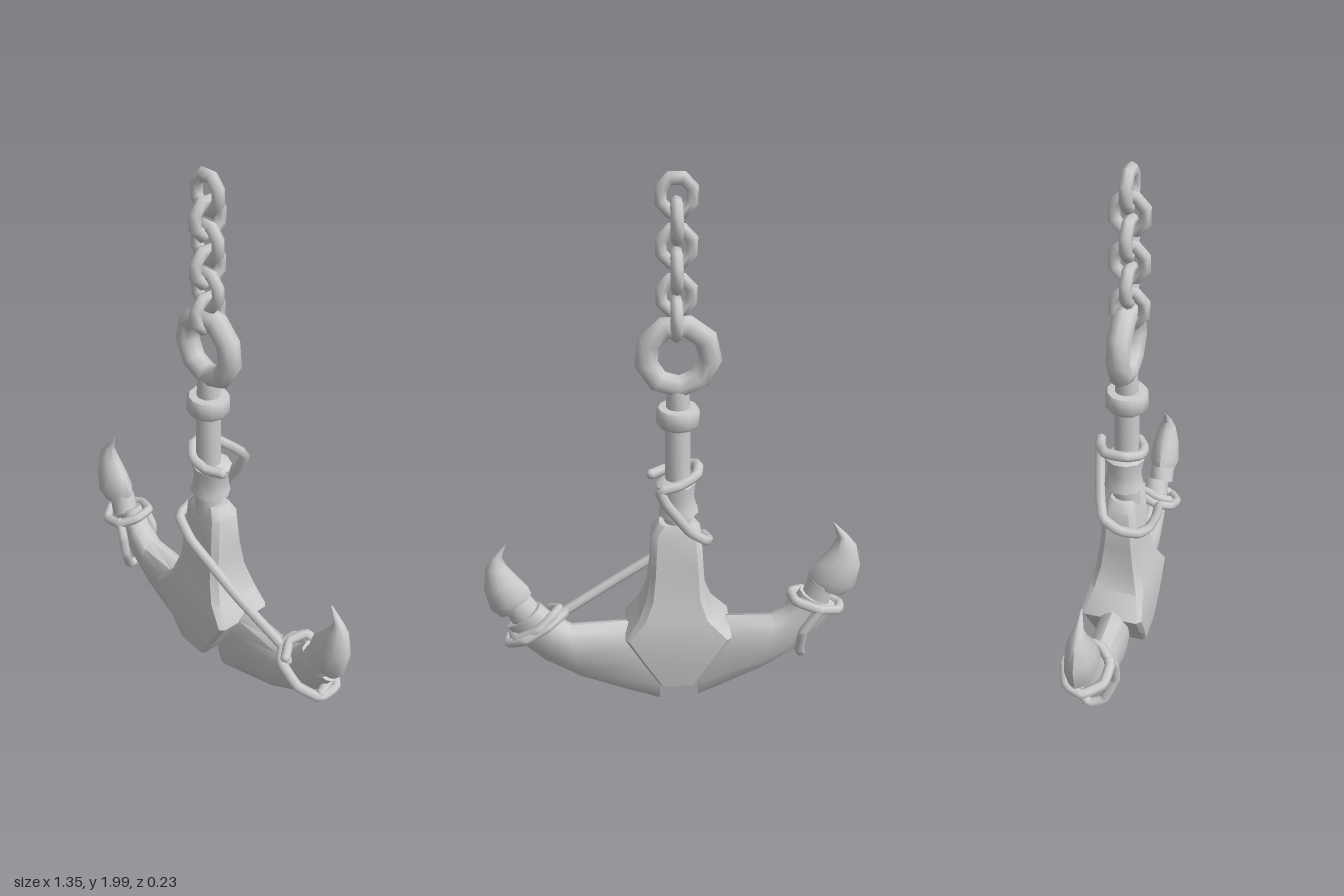
import * as THREE from 'three';
import { toCreasedNormals } from 'three/addons/utils/BufferGeometryUtils.js';

const V = (x, y, z = 0) => new THREE.Vector3(x, y, z);

// Skin a list of equal-length rings (arrays of Vector3), closing both ends.
function loft(rings, crease) {
  const n = rings[0].length;
  const pos = [], idx = [];
  const push = (p) => pos.push(p.x, p.y, p.z) / 3 - 1;
  rings.forEach((r) => r.forEach(push));
  for (let i = 0; i < rings.length - 1; i++) {
    for (let j = 0; j < n; j++) {
      const a = i * n + j, b = i * n + (j + 1) % n;
      idx.push(a, b, a + n, b, b + n, a + n);
    }
  }
  [0, rings.length - 1].forEach((ri) => {
    const c = push(rings[ri].reduce((s, p) => s.add(p), V(0, 0)).divideScalar(n));
    for (let j = 0; j < n; j++) {
      const a = ri * n + j, b = ri * n + (j + 1) % n;
      if (ri === 0) idx.push(c, b, a); else idx.push(c, a, b);
    }
  });
  // Turn the faces outward if the rings ran the other way
  const P = (i) => V(pos[3 * i], pos[3 * i + 1], pos[3 * i + 2]);
  let volume = 0;
  for (let i = 0; i < idx.length; i += 3) {
    volume += P(idx[i]).dot(P(idx[i + 1]).cross(P(idx[i + 2])));
  }
  if (volume < 0) idx.reverse();
  const g = new THREE.BufferGeometry();
  g.setAttribute('position', new THREE.Float32BufferAttribute(pos, 3));
  g.setIndex(idx);
  return toCreasedNormals(g, crease);
}

// Section in a slanted plane: upper edge point, lower edge point, half depth.
// keel > 0 thins the lower side; power > 1 makes it diamond-like.
function section([ux, uy, lx, ly, d], z, keel, power, n = 12) {
  const ring = [];
  for (let i = 0; i < n; i++) {
    const a = (i / n) * Math.PI * 2;
    const c = Math.cos(a), s = Math.sin(a);
    const t = (1 - c) / 2;
    const depth = Math.sign(s) * Math.abs(s) ** power * d * (1 - keel * t);
    ring.push(V(ux + (lx - ux) * t, uy + (ly - uy) * t, z + depth));
  }
  return ring;
}

export function createModel() {
  const anchor = new THREE.Group();
  anchor.name = 'anchor';
  const iron = new THREE.MeshStandardMaterial({ color: 0xcccccc });
  iron.name = 'grey iron';

  const add = (name, geometry, x = 0, y = 0, z = 0) => {
    const m = new THREE.Mesh(geometry, iron);
    m.name = name;
    m.position.set(x, y, z);
    anchor.add(m);
    return m;
  };
  // Profiles run from bottom to top so the faces point outward
  const lathe = (pts, sides) => toCreasedNormals(
    new THREE.LatheGeometry(pts.map(([r, y]) => new THREE.Vector2(r, y)), sides), 0.85);
  const rope = (name, pts, closed = false) => {
    const curve = new THREE.CatmullRomCurve3(pts.map((p) => V(...p)), closed, 'catmullrom', 0.15);
    add(name, new THREE.TubeGeometry(curve, pts.length * 5, 0.018, 7, closed));
    if (!closed) [pts[0], pts[pts.length - 1]].forEach((p) =>
      add('ropeEnd', new THREE.SphereGeometry(0.018, 7, 5), ...p));
  };

  // Chain: six octagonal links, alternately turned
  for (let i = 0; i < 6; i++) {
    const g = new THREE.TorusGeometry(0.053, 0.021, 7, 8);
    g.rotateZ(Math.PI / 8).scale(0.98, 1.06, 1);
    const link = add('chainLink', g, -0.015, 1.924 - i * 0.0795, 0.015);
    link.rotation.y = i % 2 ? Math.PI / 2 : 0;
  }

  // Shackle ring
  add('ring', new THREE.TorusGeometry(0.107, 0.039, 8, 9).rotateZ(0.47), -0.02, 1.4, 0.008);

  // Shank with collar
  add('shank', lathe([
    [0, 0.74], [0.05, 0.74], [0.05, 0.86], [0.043, 0.95], [0.043, 1.15], [0.064, 1.152],
    [0.073, 1.165], [0.073, 1.205], [0.066, 1.218], [0.04, 1.22], [0.036, 1.29], [0, 1.29],
  ], 12), -0.02, 0, 0.009);

  // Flared band on the shank
  const band = add('band', lathe([
    [0, -0.066], [0.05, -0.066], [0.071, -0.055], [0.064, -0.03], [0.06, 0.01],
    [0.069, 0.06], [0.045, 0.075], [0, 0.075],
  ], 10), -0.018, 0.878, 0);
  band.rotation.z = -0.08;

  // Crown: blocks flaring to a hexagonal boss; y, left x, right x, half depth, chamfer
  const crownRows = [
    [0.135, -0.085, 0.05, 0.1, 0.012], [0.22, -0.135, 0.1, 0.108, 0.014],
    [0.345, -0.21, 0.172, 0.112, 0.016], [0.42, -0.145, 0.122, 0.1, 0.022],
    [0.5, -0.118, 0.092, 0.082, 0.022], [0.6, -0.11, 0.08, 0.068, 0.02],
    [0.75, -0.1, 0.072, 0.056, 0.02], [0.785, -0.075, 0.045, 0.04, 0.018],
  ];
  add('crown', loft(crownRows.map(([y, l, r, d, c]) => [
    V(l + c, y, d), V(r - c, y, d), V(r, y, d - c), V(r, y, c - d),
    V(r - c, y, -d), V(l + c, y, -d), V(l, y, c - d), V(l, y, d - c),
  ]), 0.7));

  // Arms: upper x, y, lower x, y, half depth
  const arms = {
    right: [
      [-0.09, 0.3, -0.1, 0.01, 0.05], [-0.2, 0.37, -0.185, 0.05, 0.072],
      [-0.37, 0.365, -0.33, 0.125, 0.072], [-0.425, 0.405, -0.46, 0.215, 0.066],
      [-0.45, 0.445, -0.55, 0.315, 0.06], [-0.465, 0.475, -0.605, 0.4, 0.055],
    ],
    left: [
      [0.04, 0.3, 0.048, 0.01, 0.05], [0.17, 0.37, 0.17, 0.055, 0.072],
      [0.37, 0.355, 0.33, 0.12, 0.072], [0.425, 0.395, 0.47, 0.205, 0.066],
      [0.455, 0.43, 0.55, 0.285, 0.06], [0.475, 0.455, 0.6, 0.36, 0.055],
    ],
  };
  // Necks and hooked flukes on the arm ends
  const necks = {
    right: [[-0.475, 0.46, -0.575, 0.4, 0.047], [-0.5, 0.525, -0.585, 0.475, 0.046]],
    left: [[0.485, 0.445, 0.58, 0.37, 0.047], [0.525, 0.505, 0.605, 0.43, 0.046]],
  };
  const flukes = {
    right: [
      [-0.492, 0.515, -0.63, 0.445, 0.045], [-0.493, 0.545, -0.67, 0.485, 0.058],
      [-0.525, 0.59, -0.68, 0.57, 0.05], [-0.565, 0.64, -0.66, 0.655, 0.035],
      [-0.588, 0.69, -0.625, 0.7, 0.017], [-0.57, 0.75, -0.572, 0.752, 0.002],
    ],
    left: [
      [0.505, 0.495, 0.625, 0.4, 0.045], [0.515, 0.525, 0.655, 0.435, 0.058],
      [0.555, 0.575, 0.672, 0.52, 0.05], [0.585, 0.615, 0.66, 0.605, 0.035],
      [0.6, 0.65, 0.637, 0.65, 0.017], [0.582, 0.702, 0.584, 0.704, 0.002],
    ],
  };
  for (const [side, z, zTip] of [['right', 0.005, 0.015], ['left', -0.01, 0]]) {
    add(side + 'Arm', loft(arms[side].map((s) => section(s, z, 0.55, 0.85)), 0.9));
    add(side + 'Neck', loft(necks[side].map((s) => section(s, zTip, 0, 1)), 0.9));
    add(side + 'Fluke', loft(flukes[side].map((s) => section(s, zTip, 0, 1.35)), 0.9));
  }

  // Rope: round the shank, down the back, around the crown and across to the left arm
  rope('shankRope', [
    [0.07, 0.955, 0.03], [0.02, 0.96, 0.06], [-0.04, 0.975, 0.062], [-0.09, 0.995, 0.02],
    [-0.08, 0.99, -0.05], [-0.02, 0.97, -0.085], [0.045, 0.96, -0.1], [0.02, 0.9, -0.098],
    [-0.06, 0.78, -0.075], [-0.115, 0.73, -0.05], [-0.128, 0.7, 0.01], [-0.11, 0.685, 0.07],
    [-0.02, 0.635, 0.088], [0.2, 0.505, 0.062], [0.4, 0.39, 0.025], [0.44, 0.37, 0.045],
  ]);

  // Rope loops around the left arm
  rope('leftArmRope', [
    [0.39, 0.4, 0.015], [0.43, 0.37, 0.065], [0.52, 0.325, 0.07], [0.59, 0.3, 0.03],
    [0.595, 0.31, -0.04], [0.53, 0.35, -0.085], [0.45, 0.395, -0.075], [0.4, 0.415, -0.03],
  ], true);
  rope('leftArmRopeTurn', [
    [0.44, 0.39, 0.055], [0.41, 0.42, 0.01], [0.43, 0.43, -0.05], [0.48, 0.39, -0.08],
    [0.56, 0.34, -0.06], [0.585, 0.31, 0.02],
  ]);

  // Rope loops around the right arm
  rope('rightArmRope', [
    [-0.615, 0.4, 0.02], [-0.56, 0.405, 0.078], [-0.48, 0.425, 0.08], [-0.435, 0.45, 0.03],
    [-0.445, 0.455, -0.04], [-0.52, 0.435, -0.065], [-0.6, 0.41, -0.035],
  ], true);
  rope('rightArmRopeTurn', [
    [-0.48, 0.43, 0.075], [-0.45, 0.38, 0.085], [-0.44, 0.3, 0.083], [-0.465, 0.215, 0.05],
    [-0.48, 0.2, 0], [-0.465, 0.25, -0.05], [-0.47, 0.34, -0.075], [-0.53, 0.43, -0.065],
  ]);

  return anchor;
}
